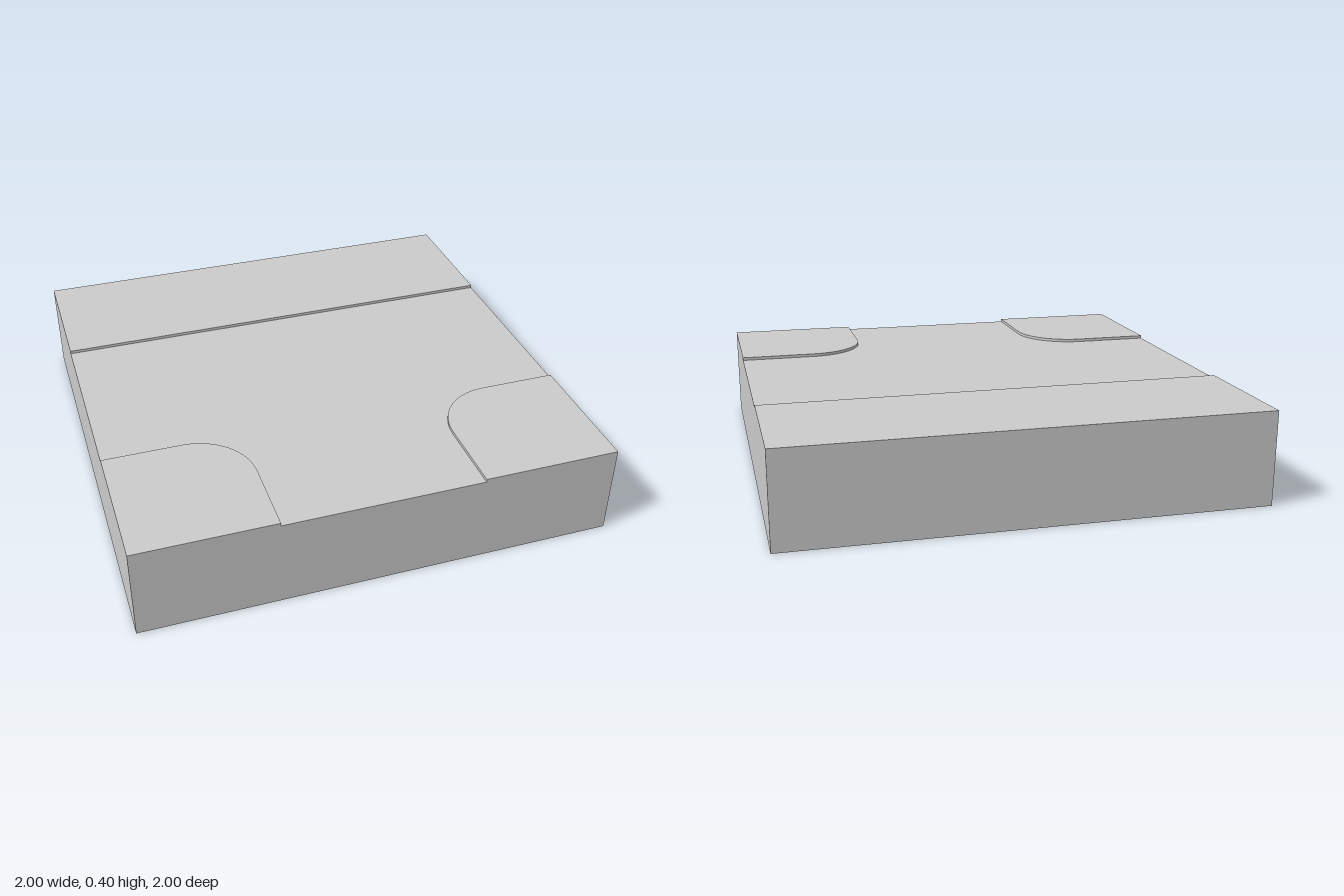
import * as THREE from 'three';
import { mergeGeometries, toCreasedNormals } from 'three/addons/utils/BufferGeometryUtils.js';

const ROAD = 0.387, TOP = 0.4; // heights of road and pavement
const EDGE = 0.42, RADIUS = 0.25; // kerb line and its corner radius

const material = new THREE.MeshStandardMaterial({ color: 0xcccccc, side: THREE.DoubleSide });

// Horizontal sheet from an outline of [x, z] points
function sheet(points, y) {
  const shape = new THREE.Shape(points.map(([x, z]) => new THREE.Vector2(x, -z)));
  return new THREE.ShapeGeometry(shape).rotateX(-Math.PI / 2).translate(0, y, 0).toNonIndexed();
}

// Upright band around a closed outline, facing outward for counterclockwise points
function band(points, y0, y1) {
  const pos = [], uv = [];
  points.forEach(([ax, az], i) => {
    const [bx, bz] = points[(i + 1) % points.length];
    pos.push(ax, y0, az, bx, y0, bz, bx, y1, bz, ax, y0, az, bx, y1, bz, ax, y1, az);
    uv.push(0, 0, 1, 0, 1, 1, 0, 0, 1, 1, 0, 1);
  });
  const geometry = new THREE.BufferGeometry();
  geometry.setAttribute('position', new THREE.Float32BufferAttribute(pos, 3));
  geometry.setAttribute('uv', new THREE.Float32BufferAttribute(uv, 2));
  geometry.computeVertexNormals();
  return toCreasedNormals(geometry, 0.5);
}

// Rounded kerb line of a front corner, from the side edge to the front edge
function cornerKerb(side) {
  const points = [[side, EDGE]];
  const c = EDGE + RADIUS, steps = 10;
  for (let i = 0; i <= steps; i++) {
    const t = (i / steps) * Math.PI / 2;
    points.push([side * (c - RADIUS * Math.sin(t)), c - RADIUS * Math.cos(t)]);
  }
  points.push([side * EDGE, 1]);
  return points;
}

export function createModel() {
  const group = new THREE.Group();
  const add = (name, geometry) => {
    const mesh = new THREE.Mesh(geometry, material);
    mesh.name = name;
    group.add(mesh);
  };
  const addPavement = (name, outline) =>
    add(name, mergeGeometries([sheet(outline, TOP), band(outline, ROAD, TOP)]));

  const leftKerb = cornerKerb(1);
  const rightKerb = cornerKerb(-1).reverse();

  // Outer walls, open underneath
  add('outerWalls', band([[-1, 1], [1, 1], [1, -1], [-1, -1]], 0, ROAD));

  // T-shaped road
  add('road', sheet([[-1, -EDGE], [1, -EDGE], ...leftKerb, ...rightKerb], ROAD));

  // Raised pavements with kerbs, hollow from below
  addPavement('backPavement', [[-1, -EDGE], [1, -EDGE], [1, -1], [-1, -1]]);
  addPavement('frontLeftPavement', [...leftKerb, [1, 1]]);
  addPavement('frontRightPavement', [...rightKerb, [-1, 1]]);

  return group;
}
